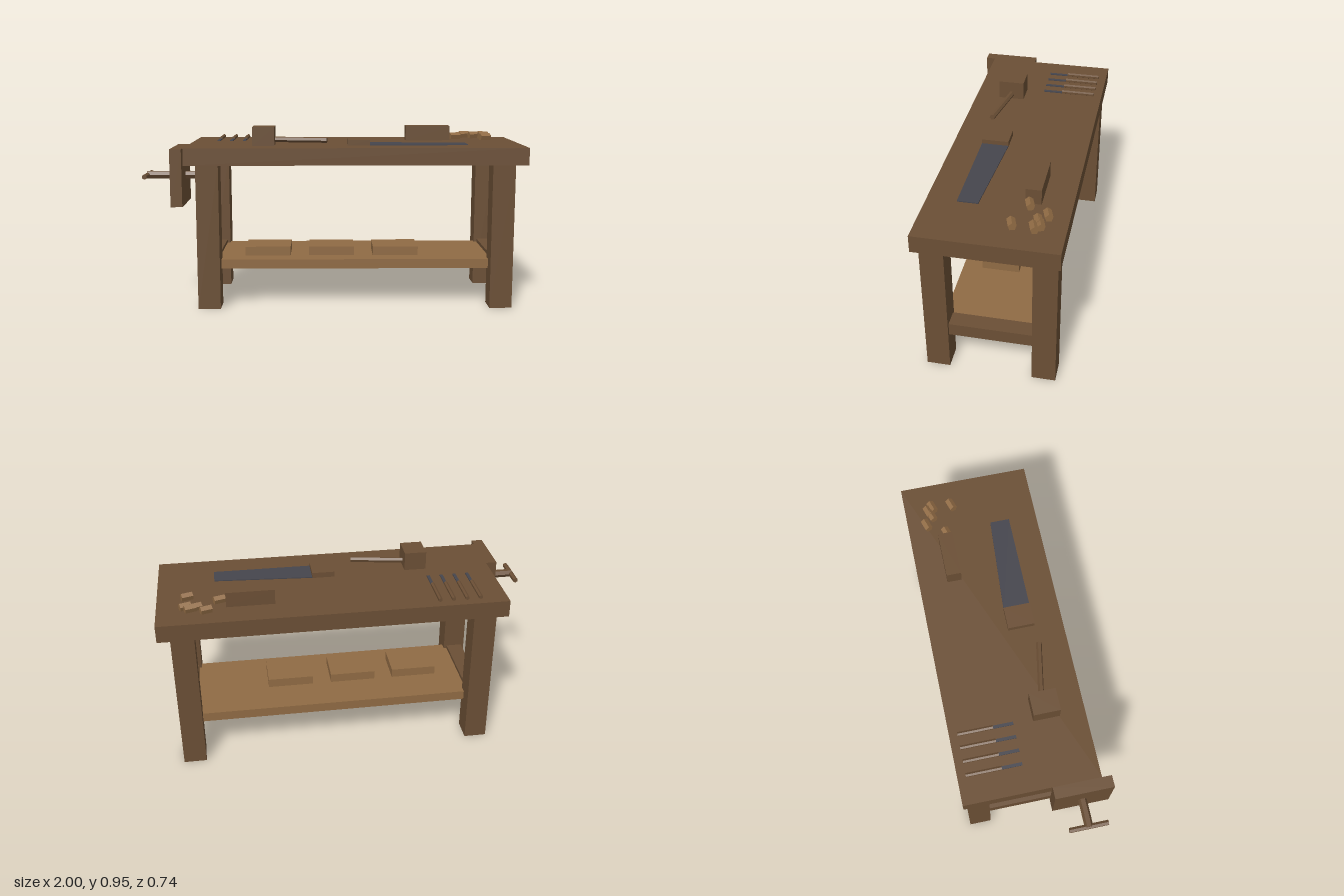
import * as THREE from 'three';

const flat = (name, color) => {
  const m = new THREE.MeshStandardMaterial({ color });
  m.name = name;
  m.flatShading = true;
  return m;
};

export function createModel() {
  const group = new THREE.Group();
  const darkWood = flat('darkWood', 0x6b4f35);
  const lightWood = flat('lightWood', 0x906b44);
  const steel = flat('steel', 0x45454d);

  const add = (name, geometry, material) => {
    const mesh = new THREE.Mesh(geometry, material);
    mesh.name = name;
    group.add(mesh);
    return mesh;
  };

  // Box given by its extents on each axis
  const box = (name, material, [x0, x1], [y0, y1], [z0, z1]) => {
    const mesh = add(name, new THREE.BoxGeometry(x1 - x0, y1 - y0, z1 - z0), material);
    mesh.position.set((x0 + x1) / 2, (y0 + y1) / 2, (z0 + z1) / 2);
    return mesh;
  };

  // Faceted rod between two points
  const up = new THREE.Vector3(0, 1, 0);
  const rod = (name, material, from, to, radius, sides = 6) => {
    const a = new THREE.Vector3(...from), b = new THREE.Vector3(...to);
    const dir = b.clone().sub(a);
    const mesh = add(name, new THREE.CylinderGeometry(radius, radius, dir.length(), sides), material);
    mesh.position.copy(a).add(b).multiplyScalar(0.5);
    mesh.quaternion.setFromUnitVectors(up, dir.normalize());
    return mesh;
  };

  // Bench top, legs and end rails
  const topY = 0.855;
  box('benchTop', darkWood, [-0.787, 1], [0.765, topY], [-0.371, 0.323]);
  for (const x of [[-0.728, -0.61], [0.818, 0.936]]) {
    for (const z of [[-0.352, -0.233], [0.185, 0.303]]) box('leg', darkWood, x, [0, 0.765], z);
    const mid = (x[0] + x[1]) / 2;
    box('endRail', darkWood, [mid - 0.043, mid + 0.043], [0.2, 0.268], [-0.233, 0.185]);
  }

  // Lower shelf with three boards lying on it
  box('shelf', lightWood, [-0.626, 0.834], [0.2, 0.25], [-0.273, 0.227]);
  for (const x of [-0.49, -0.143, 0.205])
    box('shelfBoard', lightWood, [x, x + 0.246], [0.25, 0.298], [-0.073, 0.124]);

  // End vise: jaw, screw and crossbar
  box('viseJaw', darkWood, [-0.847, -0.787], [0.558, topY], [0.075, 0.373]);
  rod('viseScrew', darkWood, [-0.99, 0.707, 0.222], [-0.728, 0.707, 0.222], 0.022);
  rod('viseHandle', darkWood, [-0.986, 0.707, 0.122], [-0.986, 0.707, 0.322], 0.014);

  // Mallet
  box('malletHead', darkWood, [-0.44, -0.323], [topY, 0.954], [0.055, 0.192]);
  rod('malletHandle', darkWood, [-0.34, 0.884, 0.118], [-0.045, 0.884, 0.172], 0.015);

  // Row of four chisels
  for (let i = 0; i < 4; i++) {
    const x = -0.643 + i * 0.0705;
    rod('chiselHandle', darkWood, [x, 0.866, -0.328], [x, 0.866, -0.148], 0.011);
    box('chiselBlade', steel, [x - 0.008, x + 0.008], [0.86, 0.865], [-0.148, -0.045]);
  }

  // Hand saw with a tapering blade
  box('sawHandle', darkWood, [0.065, 0.184], [topY, 0.884], [0.035, 0.175]);
  const outline = new THREE.Shape([
    new THREE.Vector2(0.18, 0.035), new THREE.Vector2(0.703, 0.071),
    new THREE.Vector2(0.703, 0.174), new THREE.Vector2(0.18, 0.174),
  ]);
  const blade = new THREE.ExtrudeGeometry(outline, { depth: 0.005, bevelEnabled: false });
  blade.rotateX(Math.PI / 2).translate(0, 0.861, 0);
  add('sawBlade', blade, steel);

  // Wooden plane body
  box('planeBody', darkWood, [0.402, 0.65], [topY, 0.935], [-0.222, -0.145]);

  // Curled shavings scattered on the top
  const shavings = [[0.75, -0.27], [0.8, -0.233], [0.828, -0.247], [0.853, -0.222], [0.682, -0.172], [0.845, -0.118]];
  for (const [x, z] of shavings)
    rod('shaving', lightWood, [x - 0.028, 0.877, z + 0.009], [x + 0.028, 0.877, z - 0.009], 0.021, 5);

  return group;
}
